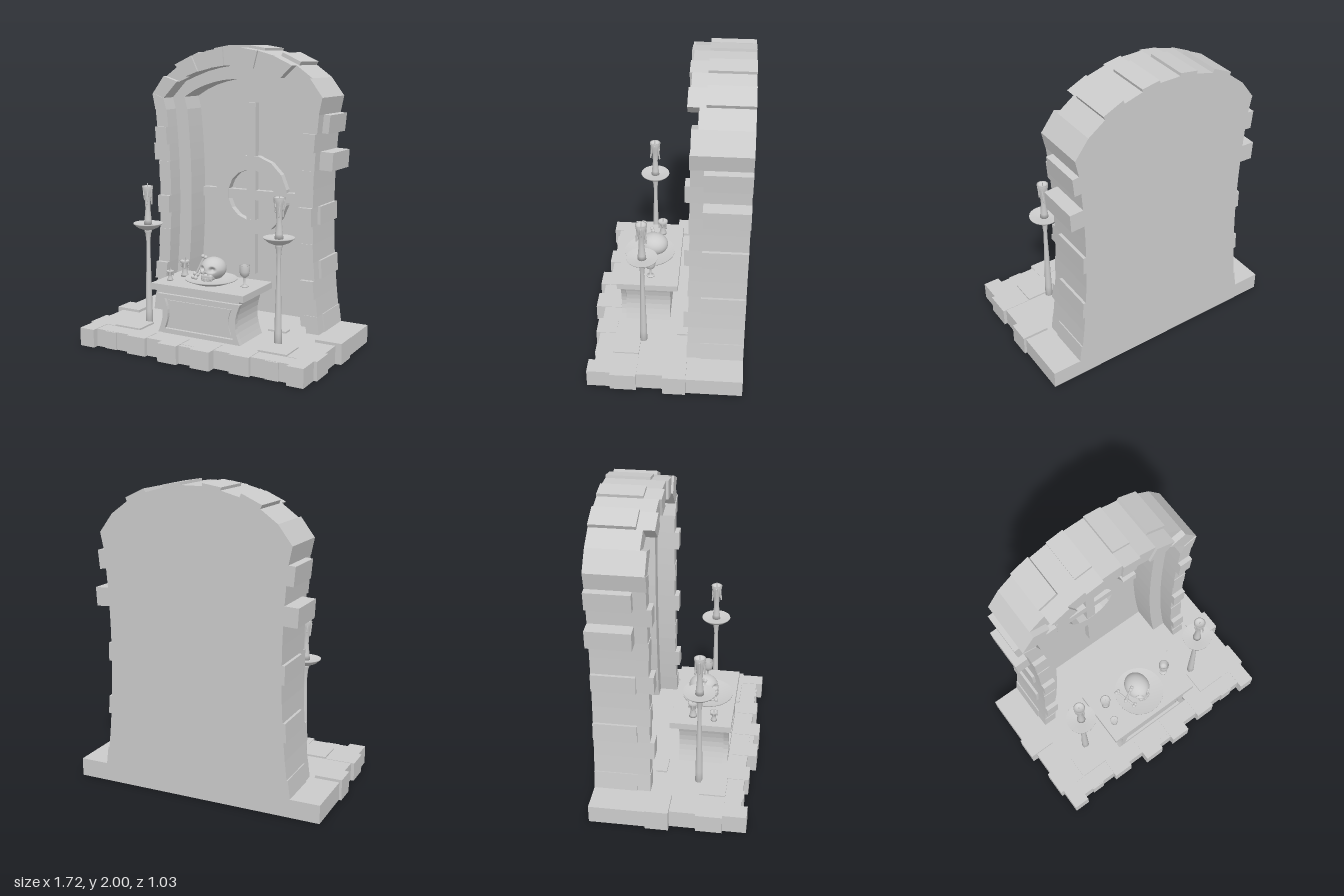
import * as THREE from 'three';
import { RoundedBoxGeometry } from 'three/addons/geometries/RoundedBoxGeometry.js';

const stone = new THREE.MeshStandardMaterial({ color: 0xcccccc });
const thin = new THREE.MeshStandardMaterial({ color: 0xcccccc, side: THREE.DoubleSide });
const V2 = (p) => new THREE.Vector2(p[0], p[1]);

function add(parent, name, geo, x = 0, y = 0, z = 0, mat = stone) {
  const m = new THREE.Mesh(geo, mat);
  m.name = name;
  m.position.set(x, y, z);
  parent.add(m);
  return m;
}
function group(parent, name, x = 0, y = 0, z = 0) {
  const g = new THREE.Group();
  g.name = name;
  g.position.set(x, y, z);
  parent.add(g);
  return g;
}
// Box given by its limits
function block(parent, name, x0, x1, y0, y1, z0, z1) {
  return add(parent, name, new THREE.BoxGeometry(x1 - x0, y1 - y0, z1 - z0), (x0 + x1) / 2, (y0 + y1) / 2, (z0 + z1) / 2);
}
// Outline in x and y, with optional holes, extruded from z0 to z1
function slab(parent, name, pts, z0, z1, holes = []) {
  const s = new THREE.Shape(pts.map(V2));
  for (const h of holes) s.holes.push(new THREE.Path(h.map(V2)));
  return add(parent, name, new THREE.ExtrudeGeometry(s, { depth: z1 - z0, bevelEnabled: false }), 0, 0, z0);
}
const lathe = (parent, name, pts, x = 0, y = 0, z = 0, n = 24) =>
  add(parent, name, new THREE.LatheGeometry(pts.map(V2), n), x, y, z, thin);

// Half outline of the arch: waisted side, then crown; mirrored to a full outline
const sideX = (y) => 0.585 + 0.055 * ((y - 0.95) / 0.8) ** 2;
function outline(inset, crown) {
  const half = [];
  for (let i = 0; i < 13; i++) {
    const y = 0.12 + i * 0.12;
    half.push([sideX(y) - inset, y]);
  }
  half.push(...crown);
  return [...half, ...half.slice().reverse().map(([x, y]) => [-x, y])];
}

function buildArch(root) {
  const g = group(root, 'archedNiche');
  const outer = outline(0, [[0.64, 1.67], [0.55, 1.79], [0.44, 1.87], [0.31, 1.93], [0.19, 1.963], [0.07, 1.983]]);
  const mid = outline(0.09, [[0.55, 1.64], [0.44, 1.755], [0.355, 1.79], [0.26, 1.825], [0.16, 1.85], [0.06, 1.865]]);
  const inner = outline(0.185, [[0.455, 1.645], [0.37, 1.695], [0.3, 1.725], [0.22, 1.75], [0.14, 1.767], [0.05, 1.775]]);
  slab(g, 'backWall', outer, -0.515, -0.46);
  // the ring outlines are open at the floor
  const ring = (inn) => [...outer, ...inn.slice().reverse()];
  slab(g, 'innerReveal', ring(inner), -0.46, -0.27);
  slab(g, 'outerReveal', ring(mid), -0.27, -0.19);
  // facing stones, alternately proud
  const last = outer.length - 1;
  for (let i = 0; i < last; i++) {
    const k = Math.min(i, last - 1 - i);
    if (k === 14) continue;
    const front = k === 13 ? -0.15 : k > 14 ? (k % 2 ? -0.12 : -0.135) : [-0.145, -0.15, -0.12, -0.15][k % 4];
    slab(g, 'facingStone', [outer[i], outer[i + 1], mid[i + 1], mid[i]], -0.19, front);
  }
  // proud stones on the outside of the walls and crown
  const outside = (a, b, proud) => {
    const dx = b[0] - a[0], dy = b[1] - a[1], len = Math.hypot(dx, dy);
    const m = add(g, 'outerStone', new THREE.BoxGeometry(len, proud + 0.05, 0.285),
      (a[0] + b[0]) / 2 + dy / len * (proud - 0.05) / 2, (a[1] + b[1]) / 2 - dx / len * (proud - 0.05) / 2, -0.3725);
    m.rotation.z = Math.atan2(dy, dx);
  };
  const mx = ([x, y]) => [-x, y];
  for (const [i, proud] of [[0, 0.008], [3, 0.018], [6, 0.02], [9, 0.09], [11, 0.045], [15, 0.025], [17, 0.018]]) {
    outside(outer[i], outer[i + 1], proud);
    outside(mx(outer[i + 1]), mx(outer[i]), proud);
  }
}

function buildCross(root) {
  const g = group(root, 'ringedCross');
  const cy = 0.965, z0 = -0.47, z1 = -0.41, w = 0.034;
  block(g, 'crossUpright', -w, w, 0.4, 1.61, z0, z1);
  block(g, 'crossArm', -0.385, 0.385, cy - w, cy + w, z0, z1);
  const circle = (r) => Array.from({ length: 16 }, (_, i) => {
    const a = (i + 0.5) / 16 * Math.PI * 2;
    return [r * Math.cos(a), cy + r * Math.sin(a)];
  });
  slab(g, 'crossRing', circle(0.28), z0, z1 + 0.002, [circle(0.18)]);
}

function buildBase(root) {
  const g = group(root, 'stonePlatform');
  block(g, 'platformCore', -0.82, 0.82, 0, 0.12, -0.515, 0.45);
  // [x0, x1, z0, z1, top], mirrored
  const stones = [
    [0.7, 0.845, -0.515, -0.15, 0.12], [0.68, 0.862, -0.15, 0, 0.138], [0.64, 0.842, 0.17, 0.34, 0.123],
    [0.71, 0.82, 0.34, 0.492, 0.123], [0.55, 0.64, 0.4, 0.46, 0.118], [0.31, 0.45, 0.34, 0.478, 0.123],
    [0.05, 0.19, 0.34, 0.513, 0.123], [0.44, 0.64, 0.17, 0.34, 0.132], [0.31, 0.44, -0.14, -0.07, 0.132],
  ];
  for (const [x0, x1, z0, z1, h] of stones) {
    block(g, 'pavingStone', x0, x1, 0, h, z0, z1);
    block(g, 'pavingStone', -x1, -x0, 0, h, z0, z1);
  }
  block(g, 'pavingStone', -0.05, 0.05, 0, 0.118, 0.4, 0.48);
}

function buildAltar(root) {
  const g = group(root, 'altar');
  // concave sided outline
  const waisted = (w, y0, y1, dip) => {
    const side = Array.from({ length: 9 }, (_, i) => [w - dip * Math.sin(i / 8 * Math.PI), y0 + (y1 - y0) * i / 8]);
    return [...side, ...side.slice().reverse().map(([x, y]) => [-x, y])];
  };
  slab(g, 'altarBody', waisted(0.295, 0.12, 0.42, 0.035), -0.01, 0.3);
  slab(g, 'altarFrame', waisted(0.305, 0.13, 0.392, 0.035), 0.29, 0.322, [waisted(0.255, 0.16, 0.365, 0.025)]);
  slab(g, 'altarPanel', waisted(0.235, 0.18, 0.35, 0.022), 0.29, 0.308);
  block(g, 'altarTop', -0.345, 0.34, 0.417, 0.46, -0.065, 0.342);
}

// Melted candle with drips and a wick
function buildCandle(parent, x, y, z, h, r) {
  const g = group(parent, 'candle', x, y, z);
  lathe(g, 'wax', [[0, 0], [r * 0.75, 0], [r * 0.65, h * 0.12], [r * 0.45, h * 0.42], [r * 0.55, h * 0.65],
    [r * 0.85, h * 0.86], [r, h], [r * 0.8, h], [r * 0.6, h * 0.95], [0, h * 0.94]], 0, 0, 0, 16);
  for (let i = 0; i < 6; i++) {
    const a = i * 1.05, len = h * [0.22, 0.38, 0.16, 0.3, 0.2, 0.42][i];
    const d = add(g, 'waxDrip', new THREE.CapsuleGeometry(r * 0.16, len, 3, 8),
      Math.cos(a) * r * 0.78, h * 0.94 - len / 2, Math.sin(a) * r * 0.78);
    d.rotation.set(-Math.sin(a) * 0.12, 0, Math.cos(a) * -0.12);
  }
  add(g, 'wick', new THREE.CylinderGeometry(0.003, 0.003, 0.035, 6), 0, h + 0.003, 0);
}

function buildCandlestick(root, x) {
  const g = group(root, 'candlestick', x, 0, 0.152);
  lathe(g, 'stand', [[0, 0.12], [0.025, 0.12], [0.024, 0.2], [0.019, 0.4], [0.014, 0.6], [0.013, 0.68],
    [0.019, 0.74], [0.025, 0.755], [0.025, 0.768], [0.02, 0.775]], 0, 0, 0, 12);
  lathe(g, 'dripDish', [[0, 0.768], [0.035, 0.77], [0.07, 0.785], [0.1, 0.81], [0.1, 0.815], [0.045, 0.803], [0, 0.8]]);
  buildCandle(g, 0, 0.805, 0, 0.262, 0.038);
}

function buildSkull(root) {
  const g = group(root, 'skull', 0, 0.552, 0.122);
  // sphere with pressed in sockets, narrowed face and flattened base
  const geo = new THREE.SphereGeometry(1, 64, 48);
  const p = geo.attributes.position, v = new THREE.Vector3();
  const pits = [[-0.46, 0.12, 0.88, 0.4, 0.045], [0.46, 0.12, 0.88, 0.4, 0.045], [0, -0.3, 0.95, 0.22, 0.014]]
    .map(([x, y, z, d, s]) => ({ c: new THREE.Vector3(x, y, z).normalize(), d, s }));
  for (let i = 0; i < p.count; i++) {
    v.fromBufferAttribute(p, i);
    let k = 1;
    for (const { c, d, s } of pits) k -= d * Math.exp(-((v.distanceToSquared(c) / s) ** 2));
    const face = Math.max(0, v.z) * Math.max(0, -v.y);
    p.setXYZ(i, v.x * k * 0.085 * (1 - 0.5 * face), Math.max(v.y * k * 0.075, -0.062), v.z * k * 0.098 + face * 0.03);
  }
  geo.computeVertexNormals();
  add(g, 'cranium', geo);
  add(g, 'upperJaw', new RoundedBoxGeometry(0.085, 0.045, 0.075, 3, 0.016), 0, -0.042, 0.063);
  for (let i = -3; i <= 3; i++)
    add(g, 'tooth', new RoundedBoxGeometry(0.011, 0.02, 0.01, 2, 0.003), i * 0.0115, -0.057, 0.1 - i * i * 0.0012);
}

function buildBone(root, a, b) {
  const A = new THREE.Vector3(...a), B = new THREE.Vector3(...b), dir = B.clone().sub(A), len = dir.length();
  const g = group(root, 'bone', ...A.clone().add(B).multiplyScalar(0.5).toArray());
  g.quaternion.setFromUnitVectors(new THREE.Vector3(0, 1, 0), dir.normalize());
  add(g, 'boneShaft', new THREE.CylinderGeometry(0.008, 0.008, len, 10));
  for (const sy of [-1, 1]) for (const sx of [-1, 1])
    add(g, 'boneKnob', new THREE.SphereGeometry(0.013, 12, 10), sx * 0.01, sy * len / 2, 0);
}

export function createModel() {
  const root = new THREE.Group();
  root.name = 'altarShrine';
  buildBase(root);
  buildArch(root);
  buildCross(root);
  buildAltar(root);
  for (const s of [-1, 1]) buildCandlestick(root, s * 0.49);

  // things on the altar
  lathe(root, 'plate', [[0, 0.461], [0.1, 0.461], [0.172, 0.488], [0.172, 0.494], [0.105, 0.475], [0, 0.473]], 0, 0, 0.15, 32);
  buildSkull(root);
  buildBone(root, [-0.06, 0.625, 0.135], [-0.115, 0.505, 0.15]);
  buildBone(root, [-0.13, 0.5, 0.065], [-0.09, 0.5, 0.215]);
  buildCandle(root, -0.245, 0.46, 0.08, 0.108, 0.036);
  buildCandle(root, -0.272, 0.46, 0.222, 0.065, 0.028);
  lathe(root, 'goblet', [[0, 0.46], [0.027, 0.46], [0.026, 0.465], [0.007, 0.472], [0.006, 0.515], [0.012, 0.522],
    [0.028, 0.535], [0.034, 0.56], [0.035, 0.6], [0.03, 0.6], [0.029, 0.56], [0.02, 0.54], [0, 0.535]], 0.235, 0, 0.125);
  return root;
}
